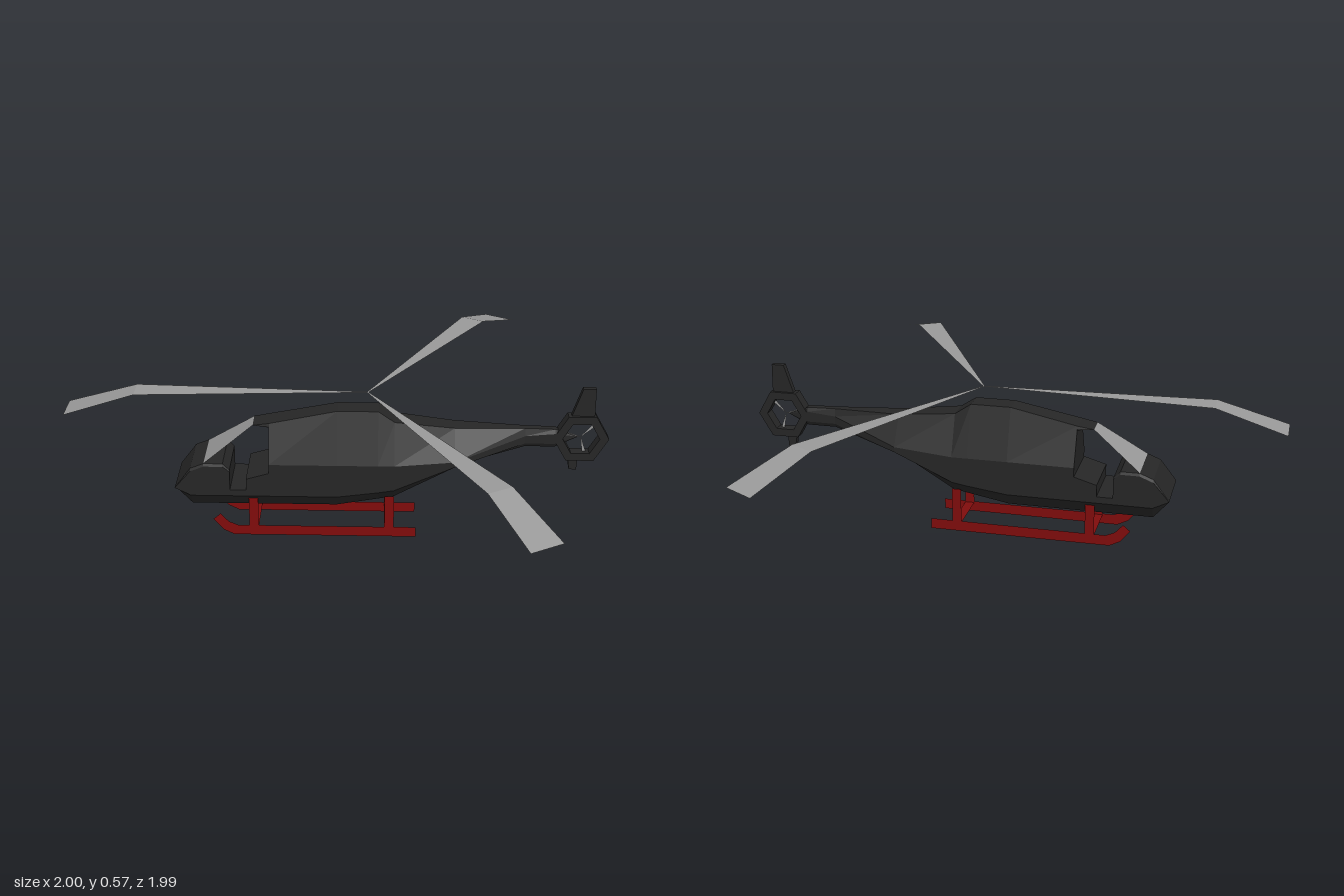
import * as THREE from 'three';

const paint = (color, side = THREE.FrontSide) =>
  new THREE.MeshStandardMaterial({ color, side, flatShading: true });
const BLACK = paint(0x262626);
const GREY = paint(0x999999, THREE.DoubleSide);
const RED = paint(0x800c0c, THREE.DoubleSide);

function add(parent, name, geometry, material) {
  const mesh = new THREE.Mesh(geometry, material);
  mesh.name = name;
  parent.add(mesh);
  return mesh;
}

// Surface from rings of 3D points; closed joins the last point to the first
function skin(rings, closed) {
  const pos = [];
  for (let i = 0; i < rings.length - 1; i++) {
    const n = rings[i].length;
    for (let j = 0; j < (closed ? n : n - 1); j++) {
      const k = (j + 1) % n;
      const a = rings[i][j], b = rings[i][k], c = rings[i + 1][k], d = rings[i + 1][j];
      pos.push(...a, ...d, ...c, ...a, ...c, ...b);
    }
  }
  const g = new THREE.BufferGeometry();
  g.setAttribute('position', new THREE.Float32BufferAttribute(pos, 3));
  g.computeVertexNormals();
  return g;
}

// Eight-sided hull section: four heights and the half widths of belly, sides and roof
const section = ([x, y0, y1, y2, y3, belly, side, roof]) => [
  [x, y0, -belly], [x, y0, belly], [x, y1, side], [x, y2, side],
  [x, y3, roof], [x, y3, -roof], [x, y2, -side], [x, y1, -side],
];
const hull = (stations) => skin(stations.map(section), true);

const polygon = (points) => new THREE.Shape(points.map(([x, y]) => new THREE.Vector2(x, y)));

function plate(shape, thickness) {
  const g = new THREE.ExtrudeGeometry(shape, { depth: thickness, bevelEnabled: false });
  return g.translate(0, 0, -thickness / 2);
}

// Flat blade along +x from stations of radius, height and half width
const blade = (stations) => skin(stations.map(([r, y, w]) => [[r, y, w], [r, y, -w]]), false);

export function createModel() {
  const model = new THREE.Group();
  model.name = 'helicopter';

  // Fuselage: nose, open door sill, cabin and tail boom in one hull
  add(model, 'fuselage', hull([
    [-0.60, 0.20, 0.20, 0.20, 0.20, 0.09, 0.105, 0.1],
    [-0.54, 0.12, 0.17, 0.27, 0.28, 0.07, 0.105, 0.1],
    [-0.49, 0.12, 0.17, 0.29, 0.30, 0.07, 0.105, 0.1],
    [-0.42, 0.12, 0.17, 0.29, 0.30, 0.07, 0.105, 0.1],
    [-0.395, 0.12, 0.17, 0.27, 0.275, 0.07, 0.105, 0.1],
    [-0.395, 0.12, 0.17, 0.195, 0.195, 0.07, 0.105, 0.1],
    [-0.335, 0.12, 0.17, 0.195, 0.195, 0.07, 0.105, 0.1],
    [-0.335, 0.12, 0.17, 0.24, 0.24, 0.07, 0.105, 0.1],
    [-0.25, 0.12, 0.17, 0.265, 0.265, 0.07, 0.105, 0.1],
    [-0.25, 0.12, 0.17, 0.30, 0.44, 0.07, 0.105, 0.045],
    [0.0, 0.12, 0.17, 0.30, 0.49, 0.07, 0.105, 0.04],
    [0.15, 0.147, 0.19, 0.30, 0.49, 0.07, 0.105, 0.04],
    [0.21, 0.158, 0.20, 0.30, 0.45, 0.07, 0.105, 0.045],
    [0.43, 0.29, 0.30, 0.32, 0.425, 0.07, 0.105, 0.035],
    [0.69, 0.345, 0.36, 0.39, 0.418, 0.013, 0.022, 0.013],
    [0.80, 0.345, 0.36, 0.40, 0.415, 0.013, 0.022, 0.013],
    [0.885, 0.38, 0.38, 0.38, 0.38, 0, 0, 0],
  ]), BLACK);

  // Thin roof lip above the windscreen
  add(model, 'roofLip', hull([
    [-0.31, 0.43, 0.43, 0.43, 0.43, 0.04, 0.04, 0.04],
    [-0.25, 0.425, 0.425, 0.43, 0.44, 0.045, 0.048, 0.045],
  ]), BLACK);

  // Sloping windscreen pane
  add(model, 'windscreen', skin([
    [[-0.49, 0.30, 0.1], [-0.49, 0.30, -0.1]],
    [[-0.31, 0.43, 0.04], [-0.31, 0.43, -0.04]],
  ], false), GREY);

  // Main rotor: three blades with drooping tips
  const rotor = new THREE.Group();
  rotor.name = 'mainRotor';
  rotor.position.set(0.11, 0.55, 0);
  for (let i = 0; i < 3; i++) {
    const b = add(rotor, 'rotorBlade',
      blade([[0, 0, 0.003], [0.85, 0, 0.048], [1.11, -0.077, 0.063]]), GREY);
    b.rotation.y = Math.PI + (i * Math.PI * 2) / 3;
  }
  model.add(rotor);

  // Tail: hexagonal shroud with upper and lower fins
  const tail = new THREE.Group();
  tail.name = 'tail';
  tail.position.set(0.895, 0.38, 0);
  const hexagon = (r) => [0, 1, 2, 3, 4, 5].map((i) =>
    [r * Math.cos((i * Math.PI) / 3), r * Math.sin((i * Math.PI) / 3)]);
  const ring = polygon(hexagon(0.102));
  ring.holes.push(polygon(hexagon(0.068)));
  add(tail, 'tailShroud', plate(ring, 0.044), BLACK);
  add(tail, 'upperFin', plate(polygon(
    [[-0.045, 0.07], [0.045, 0.07], [0.042, 0.195], [-0.005, 0.195]]), 0.022), BLACK);
  add(tail, 'lowerFin', plate(polygon(
    [[-0.045, -0.07], [-0.035, -0.13], [-0.008, -0.13], [-0.005, -0.07]]), 0.022), BLACK);

  // Tail rotor blades inside the shroud
  for (let i = 0; i < 3; i++) {
    const b = add(tail, 'tailRotorBlade',
      blade([[0, 0, 0.001], [0.068, 0, 0.007]]).rotateX(Math.PI / 2), GREY);
    b.rotation.z = Math.PI / 4 + (i * Math.PI * 2) / 3;
  }
  model.add(tail);

  // Landing gear: two flat skids with upturned fronts, posts and cross bars
  const gear = new THREE.Group();
  gear.name = 'landingGear';
  const runner = polygon([[0.295, 0], [0.295, 0.04], [-0.37, 0.04], [-0.405, 0.055],
    [-0.435, 0.088], [-0.462, 0.065], [-0.425, 0.02], [-0.385, 0]]);
  const posts = [-0.31, 0.195];
  for (const z of [-0.095, 0.095]) {
    add(gear, 'skid', new THREE.ShapeGeometry(runner), RED).position.z = z;
    for (const x of posts) {
      add(gear, 'skidPost', new THREE.PlaneGeometry(0.035, 0.14), RED).position.set(x, 0.1, z);
    }
  }
  for (const x of posts) {
    const bar = add(gear, 'crossBar', new THREE.PlaneGeometry(0.035, 0.19), RED);
    bar.rotation.x = -Math.PI / 2;
    bar.position.set(x, 0.035, 0);
  }
  model.add(gear);

  return model;
}
